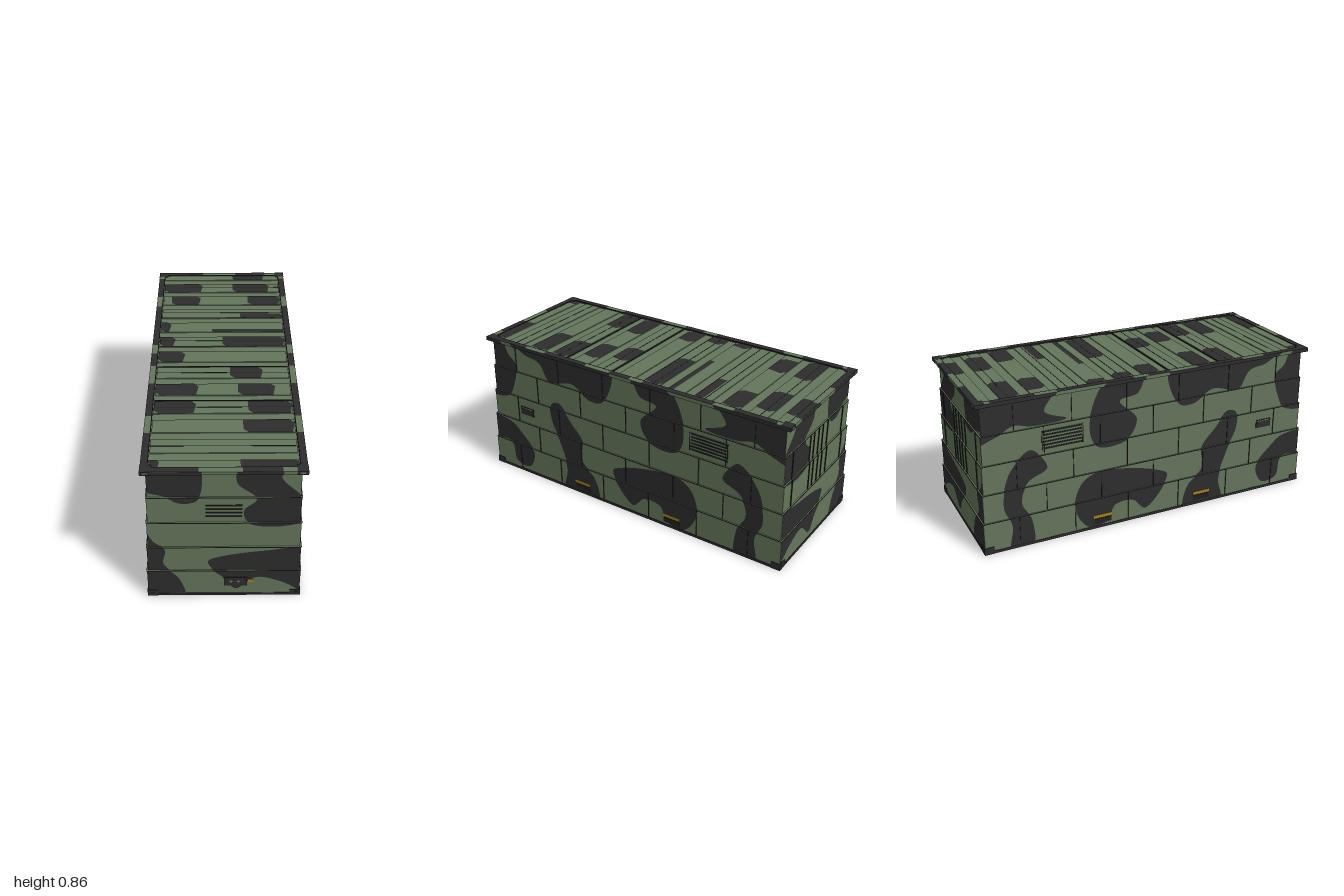
import * as THREE from 'three';

const mat = (name, color) => Object.assign(new THREE.MeshStandardMaterial({ color }), { name });

export function createModel() {
  const green = mat('field green', 0x65765c);
  const dark = mat('camouflage black', 0x2d2d2d);
  const line = mat('seam black', 0x1f211e);
  const yellow = mat('marking yellow', 0xa8821e);
  const grey = mat('socket grey', 0x6c7468);
  const root = new THREE.Group();
  root.name = 'shelterContainer';

  function box(parent, name, material, x0, x1, y0, y1, z0, z1) {
    const m = new THREE.Mesh(new THREE.BoxGeometry(Math.abs(x1 - x0), y1 - y0, Math.abs(z1 - z0)), material);
    m.position.set((x0 + x1) / 2, (y0 + y1) / 2, (z0 + z1) / 2);
    m.name = name;
    parent.add(m);
  }

  // five stacked courses, each set in a little from the one below, and the roof slab
  const tiers = [];
  for (let i = 0; i < 5; i++) {
    const y0 = i ? 0.02 + i * 0.163 : 0.015;
    tiers.push({ y0, y1: 0.183 + i * 0.163, hx: 0.397 - i * 0.0055, hz: 0.997 - i * 0.0065 });
  }
  tiers.push({ y0: 0.835, y1: 0.855, hx: 0.4, hz: 1 });
  tiers.forEach(({ y0, y1, hx, hz }, i) =>
    box(root, i === 5 ? 'roofSlab' : 'bodyCourse', green, -hx, hx, y0, i === 5 ? 0.846 : y1, -hz, hz));
  box(root, 'floorFrame', dark, -0.4, 0.4, 0, 0.015, -1, 1);

  // camouflage patches: a smooth closed curve through a few points, cut off at the wall edges
  const patch = (...a) => new THREE.CatmullRomCurve3(
    a.flatMap((v, i) => (i % 2 ? [] : [new THREE.Vector3(v, a[i + 1], 0)])), true).getPoints(80).slice(0, -1);
  const endPatches = [];
  endPatches.push(patch(-.45, .9, -.13, .9, -.105, .77, -.135, .65, -.22, .635, -.28, .67, -.45, .74));
  endPatches.push(patch(.08, .88, .065, .76, .16, .66, .1, .59, .12, .51, .28, .485, .44, .55, .375, .68, .28, .79, .28, .88));
  endPatches.push(patch(-.45, .58, -.355, .38, -.3, .33, -.31, .23, -.23, .12, -.21, -.02, -.47, -.02));
  endPatches.push(patch(-.08, .25, 0, .285, .2, .32, .46, .33, .46, .01, .3, .1, .17, .135, .06, .05, 0, .13, -.06, .19));
  const sidePatches = [];
  sidePatches.push(patch(1.06, .9, .91, .88, .86, .77, .8, .71, .83, .57, .88, .495, 1.08, .5));
  sidePatches.push(patch(.83, .88, .74, .8, .62, .77, .55, .67, .38, .7, .25, .635, .16, .65, .1, .88));
  sidePatches.push(patch(-.06, .87, -.09, .76, -.2, .73, -.1, .61, -.16, .5, -.34, .495, -.38, .64, -.27, .87));
  sidePatches.push(patch(-.56, .88, -.63, .75, -.51, .69, -.7, .68, -.8, .7, -.89, .66, -1.08, .62, -1.08, .9));
  sidePatches.push(patch(1.08, .32, .87, .325, .79, .27, .69, .15, .74, .045, .84, .06, .87, .18, 1.08, .185));
  sidePatches.push(patch(.54, .53, .48, .55, .4, .46, .31, .35, .32, .23, .22, .13, .2, -.01, .45, -.01, .43, .13, .48, .3, .54, .43));
  sidePatches.push(patch(.09, .235, .03, .275, -.2, .335, -.36, .34, -.44, .29, -.48, .15, -.4, .02, -.29, .03, -.24, .12, -.13, .125, -.05, .055));
  sidePatches.push(patch(-.66, .5, -.72, .55, -.84, .44, -.88, .25, -.84, .14, -.85, -.02, -.73, -.02, -.73, .15, -.78, .26, -.74, .37, -.63, .43));

  // keep the polygon side where sign * coordinate <= limit
  function cut(poly, axis, sign, limit) {
    const out = [];
    poly.forEach((p, i) => {
      const q = poly[(i + 1) % poly.length];
      const a = sign * p[axis] - limit, b = sign * q[axis] - limit;
      if (a <= 0) out.push(p);
      if (a * b < 0) out.push(p.clone().lerp(q, a / (a - b)));
    });
    return out;
  }

  // each wall is built facing +z, then turned into place
  function wall(name, angle, flip, patches, isSide) {
    const g = new THREE.Group();
    g.name = name;
    g.rotation.y = angle;
    root.add(g);
    tiers.forEach(({ y0, y1, hx, hz }, i) => {
      const half = isSide ? hz : hx, d = isSide ? hx : hz;
      for (const curve of patches) {
        let p = cut(cut(curve, 'y', 1, y1), 'y', -1, -y0);
        p = cut(cut(p, 'x', 1, half), 'x', -1, half);
        if (p.length < 3) continue;
        const shape = new THREE.Shape(p.map((v) => new THREE.Vector2(v.x * flip, v.y)));
        const m = new THREE.Mesh(new THREE.ShapeGeometry(shape), dark);
        m.position.z = d + 0.0015;
        m.name = 'camouflagePatch';
        g.add(m);
      }
      if (i === 5) return;
      box(g, 'courseSeam', line, -half, half, y1 - 0.003, y1, d, d + 0.003);
      // staggered upright panel joints on the long walls
      for (let u = -0.8 + (i % 2) * 0.16; isSide && u < 0.9; u += 0.32)
        box(g, 'panelJoint', line, u, u + 0.0015, y0, y1, d, d + 0.005);
    });
    return g;
  }
  const front = wall('frontWall', 0, 1, endPatches, false);
  const back = wall('backWall', Math.PI, -1, endPatches, false);
  const left = wall('leftWall', Math.PI / 2, -1, sidePatches, true);
  const right = wall('rightWall', -Math.PI / 2, 1, sidePatches, true);

  // front louvres, connector box and tag
  for (let k = 0; k < 4; k++)
    box(front, 'frontLouvre', line, -0.09, 0.09, 0.546 + k * 0.0235, 0.554 + k * 0.0235, 0.977, 0.981);
  box(front, 'connectorBox', dark, 0, 0.12, 0.073, 0.133, 0.99, 1);
  box(front, 'connectorHood', line, -0.003, 0.123, 0.129, 0.134, 0.99, 1.001);
  for (const x of [0, 0.113]) box(front, 'connectorFrame', line, x, x + 0.007, 0.073, 0.129, 0.99, 1.001);
  for (const x of [0.037, 0.075]) {
    const s = new THREE.Mesh(new THREE.CircleGeometry(0.008, 12), grey);
    s.position.set(x, 0.105, 1.001);
    s.name = 'connectorSocket';
    front.add(s);
  }
  box(front, 'warningTag', yellow, 0.125, 0.155, 0.098, 0.119, 0.996, 1);

  // rear door edges and locking bars
  for (const x of [-0.3, -0.1, -0.055, 0, 0.05, 0.11, 0.3])
    for (const { y0, y1, hz } of tiers.slice(2, 4))
      box(back, 'doorBar', line, x - 0.0015, x + 0.0015, y0, y1 - 0.005, hz, hz + 0.005);

  // long wall fittings, alike on both walls
  for (const [g, f] of [[left, -1], [right, 1]]) {
    const plate = (name, m, z0, z1, y0, y1, d) => box(g, name, m, z0 * f, z1 * f, y0, y1, d, d + 0.004);
    plate('ventPanel', green, -0.65, -0.42, 0.537, 0.645, 0.379);
    for (let k = 0; k < 6; k++) plate('ventSlat', line, -0.645, -0.425, 0.54 + k * 0.019, 0.549 + k * 0.019, 0.381);
    for (const z of [-0.65, -0.42]) plate('ventFrame', line, z - 0.002, z + 0.002, 0.537, 0.645, 0.381);
    plate('hatchFrame', line, 0.68, 0.78, 0.402, 0.452, 0.385);
    plate('hatchCover', dark, 0.685, 0.775, 0.406, 0.44, 0.386);
    plate('hatchLabel', green, 0.69, 0.77, 0.441, 0.448, 0.386);
    for (const z of [0.315, -0.315]) {
      plate('liftStripe', yellow, z - 0.055, z + 0.055, 0.064, 0.081, 0.397);
      plate('liftPocket', line, z - 0.052, z + 0.052, 0.028, 0.058, 0.396);
    }
  }

  for (const s of [-1, 1]) {
    // corner castings, bottom and top
    for (const t of [-1, 1]) {
      box(root, 'bottomCasting', dark, s * 0.347, s * 0.4015, 0, 0.04, t * 0.947, t * 1.0015);
      box(root, 'bottomCastingSlot', line, s * 0.362, s * 0.387, 0.013, 0.027, t, t * 1.002);
      box(root, 'topCasting', dark, s * 0.347, s * 0.4015, 0.834, 0.856, t * 0.947, t * 1.0015);
      box(root, 'topCastingSlot', grey, s * 0.362, s * 0.387, 0.841, 0.849, t, t * 1.002);
    }
    // roof rim
    box(root, 'roofSideRim', green, s * 0.366, s * 0.4, 0.846, 0.855, -1, 1);
    box(root, 'roofEndRim', green, -0.366, 0.366, 0.846, 0.855, s * 0.967, s);
    box(root, 'rimSeam', line, s * 0.364, s * 0.368, 0.846, 0.8555, -0.967, 0.967);
    box(root, 'rimSeam', line, -0.366, 0.366, 0.846, 0.8555, s * 0.964, s * 0.968);
    for (const [a, b] of [[-0.92, -0.68], [-0.56, -0.12], [-0.03, 0.1], [0.27, 0.56], [0.7, 0.95]])
      box(root, 'rimCamouflage', dark, s * 0.368, s * 0.4, 0.854, 0.8557, a, b);
    for (const [a, b] of [[-0.347, -0.12], [0.09, 0.28]])
      box(root, 'rimCamouflage', dark, a, b, 0.854, 0.8557, s * 0.968, s);
  }

  // roof ribs with their seams
  const ribStart = (k) => Math.max(k * 0.16 - 0.053, -0.965);
  const ribEnd = (k) => Math.min(k * 0.16 + 0.053, 0.965);
  for (let k = -6; k <= 6; k++) box(root, 'roofRib', green, -0.36, 0.36, 0.846, 0.851, ribStart(k), ribEnd(k));
  for (const z of [-0.81, -0.49, -0.43, -0.17, -0.11, 0.1, 0.16, 0.42, 0.48, 0.8])
    box(root, 'roofSeam', line, -0.36, 0.36, 0.846, 0.8522, z - 0.002, z + 0.002);

  // camouflage on top of the ribs: rib number, x from, x to, share of the rib left bare at the back
  const ribPatches = [
    [-6, .07, .27], [-5, -.36, -.12], [-5, .07, .3], [-4, -.31, -.13], [-4, .16, .36], [-3, .11, .36, .5],
    [-2, -.36, -.3], [-2, -.06, .36, .7], [-1, -.36, -.27], [-1, 0, .36], [0, -.36, -.21], [1, .04, .22],
    [2, -.36, -.13], [2, .08, .28], [3, -.36, -.14], [3, .13, .36], [4, .1, .36], [6, .08, .36], [6, -.36, -.31],
  ];
  for (const [k, x0, x1, bare = 0] of ribPatches) {
    const z1 = ribEnd(k), z0 = THREE.MathUtils.lerp(ribStart(k), z1, bare), c = (z1 - z0) * 0.25;
    const shape = new THREE.Shape();
    shape.moveTo(x0, -z0).lineTo(x1 - c, -z0).lineTo(x1, -z0 - c);
    shape.lineTo(x1 - c / 2, -z1).lineTo(x0 + c, -z1).lineTo(x0, -z1 + c);
    const m = new THREE.Mesh(new THREE.ShapeGeometry(shape), dark);
    m.rotation.x = -Math.PI / 2;
    m.position.y = 0.8517;
    m.name = 'roofCamouflage';
    root.add(m);
  }
  return root;
}
